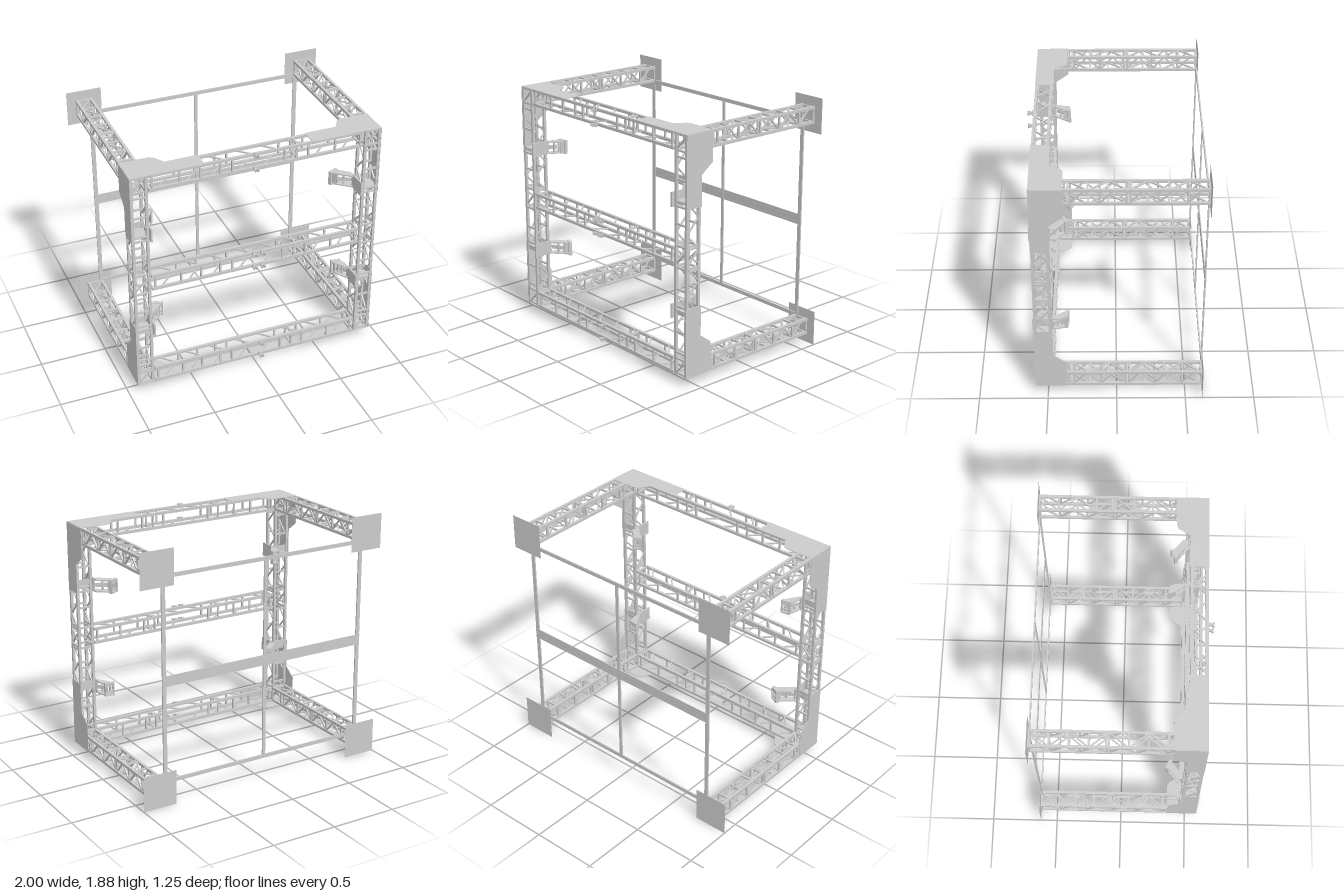
import * as THREE from 'three';
import { mergeGeometries } from 'three/addons/utils/BufferGeometryUtils.js';

const material = new THREE.MeshStandardMaterial({ color: 0xcccccc, flatShading: true });
const V = (x, y, z) => new THREE.Vector3(x, y, z);
const MID = 0.94; // height of the horizontal mirror plane
const H = 0.053; // half distance between truss chords

function mesh(name, geos) {
  const m = new THREE.Mesh(mergeGeometries(geos.map((g) => (g.index ? g.toNonIndexed() : g))), material);
  m.name = name;
  return m;
}

function box(w, h, d, x, y, z) {
  return new THREE.BoxGeometry(w, h, d).translate(x, y, z);
}

// rectangular bar between two points, t wide and h high
function bar(a, b, t, h = t) {
  const up = Math.abs(b.y - a.y) > 0.9 * a.distanceTo(b) ? V(1, 0, 0) : V(0, 1, 0);
  const m = new THREE.Matrix4().lookAt(a, b, up);
  m.setPosition(a.clone().add(b).multiplyScalar(0.5));
  return new THREE.BoxGeometry(t, h, a.distanceTo(b)).applyMatrix4(m);
}

// flat plate: normal x uses (z, y) points, normal y uses (x, z), normal z uses (x, y)
function plate(points, normal, at, d = 0.004, holes = []) {
  const shape = new THREE.Shape(points.map((p) => new THREE.Vector2(...p)));
  for (const [x, y, r] of holes) shape.holes.push(new THREE.Path().absarc(x, y, r, 0, Math.PI * 2, true));
  const g = new THREE.ExtrudeGeometry(shape, { depth: d, bevelEnabled: false, curveSegments: 4 });
  g.translate(0, 0, -d / 2);
  if (normal === 'x') return g.rotateY(-Math.PI / 2).translate(at, 0, 0);
  if (normal === 'y') return g.rotateX(Math.PI / 2).translate(0, at, 0);
  return g.translate(0, 0, at);
}

// box truss along an axis; c1 and c2 are the centre of its section
// uRungs / vRungs: rungs on the faces of constant u / v; uDiag / vDiag: zigzag nodes
// crossAt: places where the two u faces carry opposite diagonals
function truss(name, axis, from, to, c1, c2, o) {
  const P = {
    x: (s, u, v) => V(s, c1 + u, c2 + v),
    y: (s, u, v) => V(c1 + u, s, c2 + v),
    z: (s, u, v) => V(c1 + u, c2 + v, s),
  }[axis];
  const g = [];
  const zigzag = (nodes, Q) => {
    for (let i = 0; i + 1 < nodes.length; i++) {
      const e = i % 2 ? -H : H;
      g.push(bar(Q(nodes[i], e), Q(nodes[i + 1], -e), 0.01));
    }
  };
  for (const a of [-H, H]) {
    for (const b of [-H, H]) g.push(bar(P(from, a, b), P(to, a, b), 0.02));
    for (const s of o.uRungs || []) g.push(bar(P(s, a, -H), P(s, a, H), 0.013));
    for (const s of o.vRungs || []) g.push(bar(P(s, -H, a), P(s, H, a), 0.013));
    for (const s of o.crossAt || []) g.push(bar(P(s - H, a, -a), P(s + H, a, a), 0.01));
    zigzag(o.uDiag || [], (s, e) => P(s, a, e));
    zigzag(o.vDiag || [], (s, e) => P(s, e, a));
  }
  return mesh(name, g);
}

const steps = (from, to, n) => Array.from({ length: n + 1 }, (_, i) => from + ((to - from) * i) / n);

// clamp, arms and head reaching inward from a column
function bracket(name, s, y, wide) {
  const hx = wide ? 0.688 : 0.745;
  const turn = s * (wide ? 0.45 : -0.15);
  const g = [box(0.012, 0.105, 0.15, s * 0.797, y, 0.53), box(0.11, 0.045, 0.006, s * 0.8725, y + 0.027, 0.472),
    box(0.11, 0.02, 0.1, s * 0.8725, y - 0.012, 0.5275)];
  // upper and lower arm plates
  for (const dy of [-0.043, 0.043]) {
    const arm = [[s * 0.8, 0.48], [s * 0.785, 0.48], [s * (hx - 0.03), 0.37], [s * (hx + 0.035), 0.355], [s * 0.8, 0.42]];
    g.push(plate(arm, 'y', y + dy, 0.01));
  }
  // upright web joining the arms
  g.push(bar(V(s * 0.795, y, 0.45), V(s * (hx + 0.02), y, 0.4), 0.006, 0.03));
  for (const f of [0.45, 0.8]) g.push(box(0.012, 0.086, 0.012, s * (0.79 + (hx - 0.79) * f), y, 0.46 - 0.085 * f));
  // head frame
  const head = [];
  for (const d of [-1, 1]) {
    head.push(box(0.01, 0.105, 0.026, d * 0.032, 0, 0), box(0.07, 0.012, 0.026, 0, d * 0.046, 0),
      box(0.006, 0.09, 0.04, d * 0.013, 0, 0.02), box(0.06, 0.012, 0.012, 0, d * 0.024, 0));
  }
  head.forEach((h) => g.push(h.rotateY(turn).translate(s * hx, y, 0.358)));
  return mesh(name, g);
}

// small forked clip on the front of a beam
function clip(x, y) {
  const g = [box(0.012, 0.02, 0.025, x, y, 0.597), box(0.022, 0.034, 0.012, x, y, 0.591)];
  for (const d of [-1, 1]) g.push(bar(V(x, y, 0.602), V(x + d * 0.014, y, 0.626), 0.01, 0.022));
  return mesh('beamClip', g);
}

export function createModel() {
  const model = new THREE.Group();
  model.name = 'trussFrame';
  const ZF = 0.5245, XS = 0.8715, levels = [0.13, 1.75];

  // front cross beams
  const half = [0.195, 0.285, 0.58, 0.775];
  const rungs = [...half, ...half.map((x) => -x), -0.43, 0.375];
  for (const y of [...levels, MID]) {
    const o = { vRungs: rungs, uRungs: [-0.79, 0.295, 0.79], crossAt: [-0.68, -0.48, -0.295, -0.09, 0.095, 0.295, 0.48, 0.68] };
    model.add(truss('frontBeam', 'x', -0.8, 0.8, y, ZF, o));
  }

  for (const s of [-1, 1]) {
    // upright columns
    model.add(truss('column', 'y', 0.07, 1.81, s * XS, ZF, {
      vRungs: [0.08, 0.19, ...steps(0.235, 1.645, 9), 0.58, 1.3, 1.69, 1.8],
      uRungs: [0.08, 0.19, 0.85, 0.87, 1.01, 1.03, 1.69, 1.8],
      uDiag: steps(0.19, 1.69, 13),
    }));
    // diagonal braces in the corner and centre cells of the columns
    const braces = [];
    for (const y of [...levels, MID]) {
      for (const z of [ZF - H, ZF + H]) {
        braces.push(bar(V(s * XS - H, y - H, z), V(s * XS + H, y + H, z), 0.01));
      }
    }
    for (const x of [XS - H, XS + H]) {
      for (const d of [-1, 1]) braces.push(bar(V(s * x, MID - d * H, ZF - H), V(s * x, MID + d * H, ZF + H), 0.01));
    }
    model.add(mesh('columnBraces', braces));

    for (const y of levels) {
      // side beams running to the back
      const cells = steps(-0.615, 0.46, 8);
      model.add(truss('sideBeam', 'z', -0.622, 0.58, s * XS, y, {
        uRungs: [-0.615, -0.47, -0.275, -0.09, -0.065, 0.115, 0.31, 0.35],
        vRungs: [...cells, -0.095],
        uDiag: steps(-0.5675, 0.505, 11),
        vDiag: cells,
      }));

      // gusset plates on the outer side and the top or bottom of each front corner
      const m = (v) => (y > MID ? v : 2 * MID - v);
      const side = [[0.59, 1.81], [0.36, 1.81], [0.36, 1.59], [0.455, 1.52], [0.455, 1.295], [0.59, 1.295]];
      const cap = [[0.935, 0.59], [0.935, 0.36], [0.72, 0.36], [0.69, 0.375], [0.64, 0.455], [0.4, 0.455], [0.4, 0.59]];
      model.add(mesh('cornerGusset', [
        plate(side.map(([z, v]) => [z, m(v)]), 'x', s * 0.935),
        plate(cap.map(([x, z]) => [s * x, z]), 'y', m(1.812)),
      ]));

      // thin square wall plate at the back end of the beam
      model.add(mesh('wallPlate', [box(0.262, 0.262, 0.001, s * 0.869, m(1.749), -0.625)]));
    }

    // brackets on the inner side of the columns
    model.add(bracket('upperBracket', s, 1.343, s > 0));
    model.add(bracket('lowerBracket', s, 0.54, s < 0));
    model.add(mesh('backUpright', [box(0.03, 1.5, 0.01, s * 0.822, MID, -0.619)]));
  }

  // back frame
  model.add(mesh('backCentreUpright', [box(0.024, 1.5, 0.01, 0, MID, -0.619)]));
  for (const y of [0.19, 1.69]) model.add(mesh('backRail', [box(1.67, 0.028, 0.01, 0, y, -0.62)]));
  const holes = [];
  for (let i = -30; i <= 30; i++) for (const y of [0.92, 0.955]) holes.push([i * 0.026, y, 0.0025]);
  model.add(mesh('backMiddleRail', [
    plate([[-0.837, 0.9], [0.837, 0.9], [0.837, 0.978], [-0.837, 0.978]], 'z', -0.623, 0.006, holes),
  ]));

  // clips near the middle of the front beams
  for (const d of [-H, H]) {
    model.add(clip(-0.03, 1.75 + d), clip(0.03, 0.13 + d), clip(-0.03, MID + d), clip(0.03, MID + d));
  }
  return model;
}
